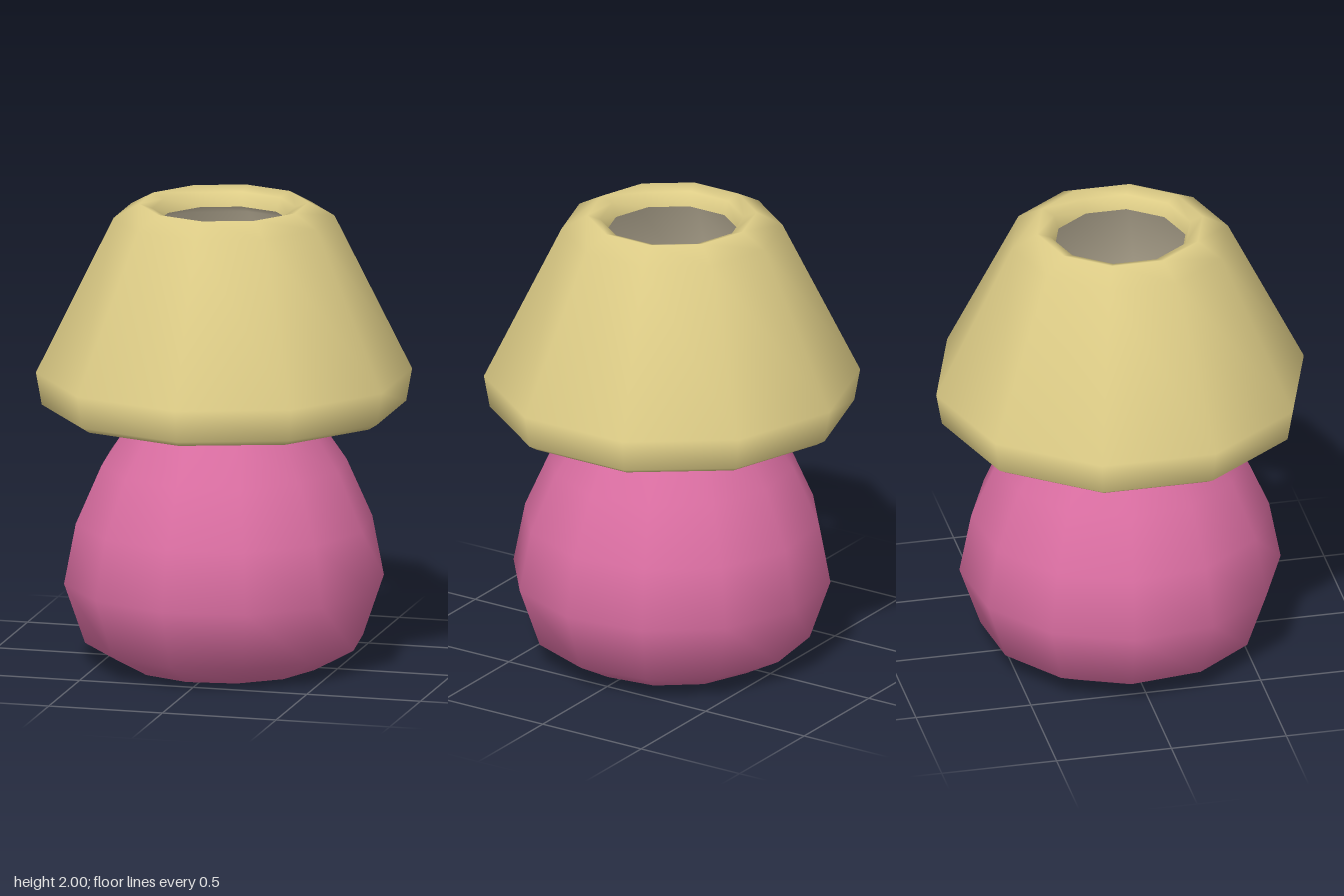
import * as THREE from 'three';

const flat = (name, color) => {
  const m = new THREE.MeshStandardMaterial({ color });
  m.name = name;
  return m;
};

// Revolve a profile of [radius, height] points into a smooth, faceted solid
function lathe(name, profile, sides, material, turn = 0) {
  const points = profile.map(([r, y]) => new THREE.Vector2(r, y));
  const mesh = new THREE.Mesh(new THREE.LatheGeometry(points, sides, turn), material);
  mesh.name = name;
  return mesh;
}

export function createModel() {
  const pink = flat('pink ceramic', 0xdc6fa3);
  const tan = flat('tan shade', 0xdecd87);
  const cream = flat('cream lining', 0xd9cdb2);

  const lamp = new THREE.Group();
  lamp.name = 'tableLamp';

  // Pear-shaped body with a neck tapering up inside the shade
  const body = lathe('body', [
    [0, 0], [0.415, 0], [0.595, 0.1], [0.685, 0.36], [0.635, 0.62],
    [0.525, 0.87], [0.41, 1.04], [0.385, 1.11], [0.29, 1.37], [0, 1.38],
  ], 12, pink, -0.13);

  // Ten-sided shade: lower lip, sloping wall, rounded top and rim of the hole
  const shade = lathe('shade', [
    [0.69, 1.15], [0.7, 1.11], [0.735, 1.105], [0.775, 1.13], [0.8, 1.27],
    [0.47, 1.94], [0.36, 2], [0.305, 1.98], [0.285, 1.92],
  ], 10, tan);

  // Inward-facing lining of the shade
  const lining = lathe('shadeLining', [
    [0.285, 1.92], [0.41, 1.87], [0.72, 1.27], [0.69, 1.15],
  ], 10, cream);
  lining.material.side = THREE.DoubleSide;

  // Bulb standing on the neck, seen through the hole
  const bulb = lathe('bulb', [
    [0.25, 1.36], [0.34, 1.44], [0.33, 1.52], [0.2, 1.6], [0, 1.63],
  ], 10, cream);

  lamp.add(body, shade, lining, bulb);
  return lamp;
}
